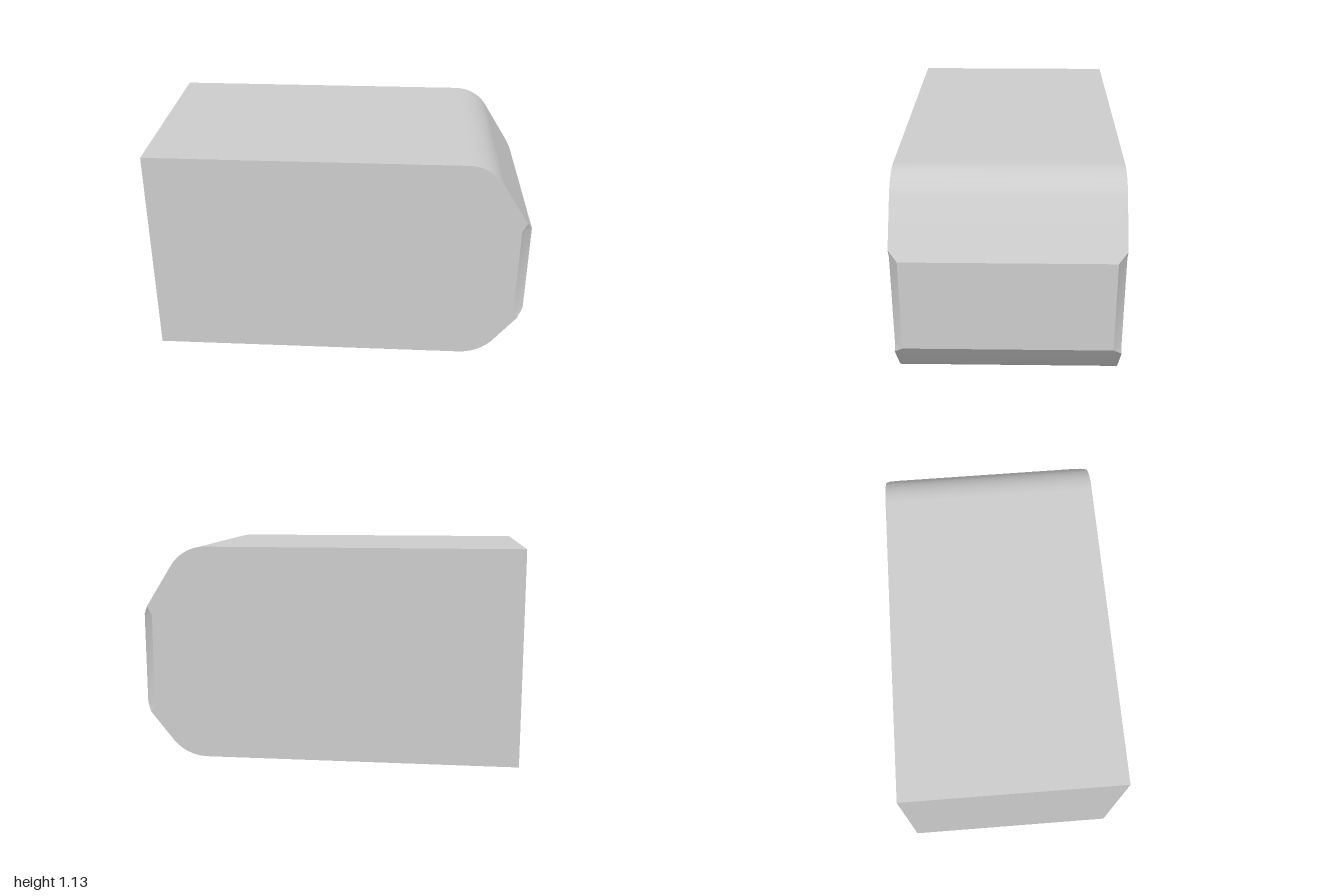
import * as THREE from 'three';
import { toCreasedNormals } from 'three/addons/utils/BufferGeometryUtils.js';

const HEIGHT = 1.135;
const LAYERS = [-0.57, -0.525, 0.525, 0.57];
const NOSE = { low: 0.28, high: 0.77, inset: 0.945, tip: 0.97 };
const TOP = { slope: 1.58, radius: 0.22 };
const BOTTOM = { slope: 1.27, radius: 0.24 };

// Angle and centre x of the arc that blends a level face into a nose slope
function blend({ slope, radius }, rise) {
  const angle = Math.atan(slope);
  return { angle, x: 1 - rise / slope - radius * Math.tan(angle / 2) };
}

// Side outline, already cut back where the nose corners are chamfered
function sideOutline() {
  const b = blend(BOTTOM, NOSE.low);
  const t = blend(TOP, HEIGHT - NOSE.high);
  const cut = 1 - NOSE.tip;
  const shape = new THREE.Shape();
  shape.moveTo(-1, 0);
  shape.lineTo(b.x, 0);
  shape.absarc(b.x, BOTTOM.radius, BOTTOM.radius, -Math.PI / 2, -Math.PI / 2 + b.angle, false);
  shape.lineTo(NOSE.tip, NOSE.low - cut * BOTTOM.slope);
  shape.lineTo(NOSE.inset, NOSE.low);
  shape.lineTo(NOSE.inset, NOSE.high);
  shape.lineTo(NOSE.tip, NOSE.high + cut * TOP.slope);
  shape.absarc(t.x, HEIGHT - TOP.radius, TOP.radius, Math.PI / 2 - t.angle, Math.PI / 2, false);
  shape.lineTo(-1, HEIGHT);
  shape.closePath();
  return shape;
}

export function createModel() {
  const group = new THREE.Group();
  const geometry = new THREE.ExtrudeGeometry(sideOutline(), {
    depth: 3, steps: 3, bevelEnabled: false, curveSegments: 16,
  });

  // Place the four layers; the inner two reach the full nose, forming the chamfers
  const p = geometry.attributes.position;
  for (let i = 0; i < p.count; i++) {
    const layer = Math.round(p.getZ(i));
    p.setZ(i, LAYERS[layer]);
    if ((layer === 1 || layer === 2) && p.getX(i) > NOSE.inset - 0.01) {
      p.setX(i, 1);
      p.setY(i, THREE.MathUtils.clamp(p.getY(i), NOSE.low, NOSE.high));
    }
  }
  geometry.deleteAttribute('uv');
  geometry.deleteAttribute('normal');

  const body = new THREE.Mesh(
    toCreasedNormals(geometry, 0.4),
    new THREE.MeshStandardMaterial({ color: 0xcccccc }),
  );
  body.name = 'chamferedBlock';
  group.add(body);
  return group;
}
